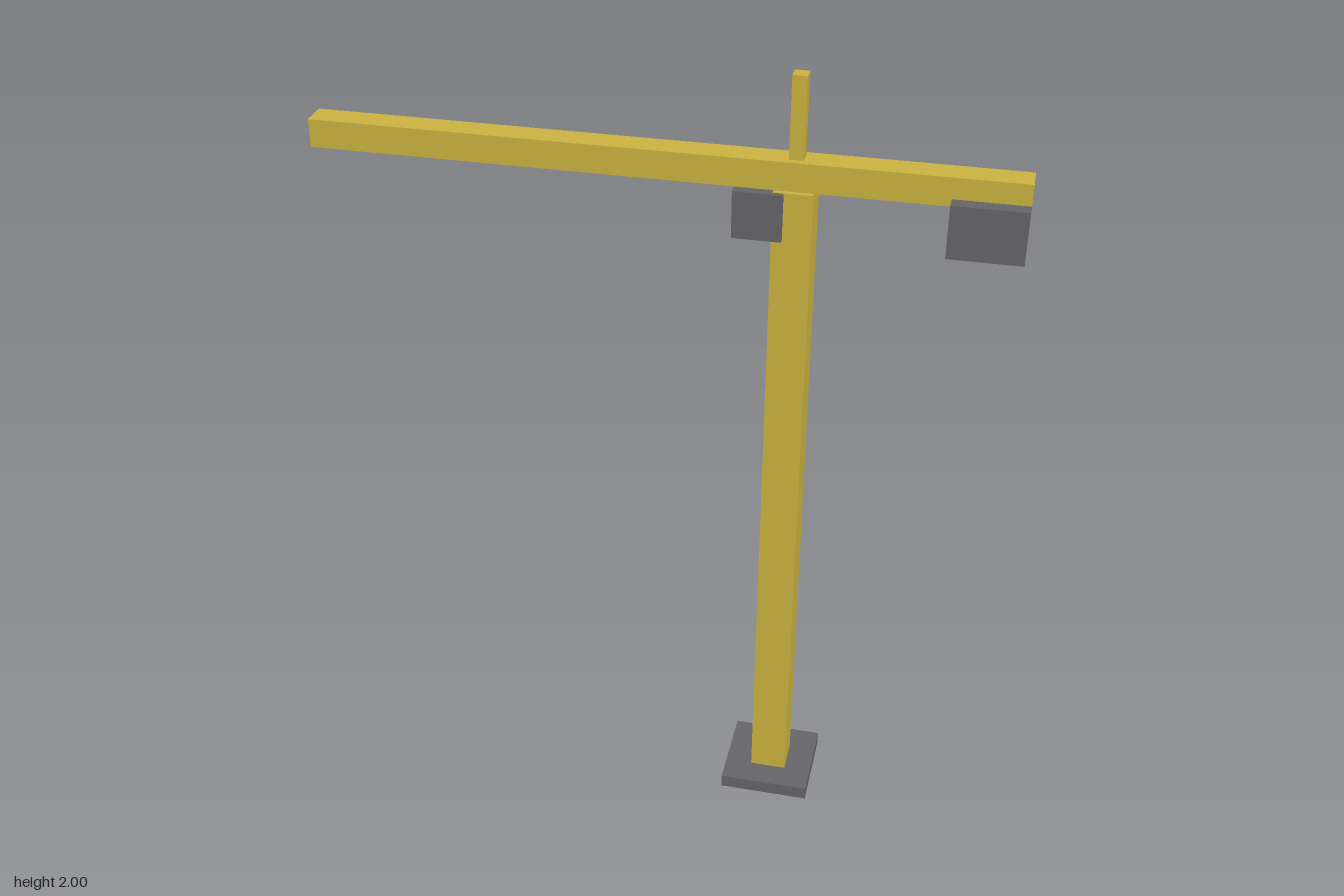
import * as THREE from 'three';

const yellow = new THREE.MeshStandardMaterial({ color: 0xc9b240 });
yellow.name = 'crane yellow';
const grey = new THREE.MeshStandardMaterial({ color: 0x656567 });
grey.name = 'dark grey';

// Box from its x and y extents and its depth, centred on z = 0
function block(name, material, [x0, x1], [y0, y1], depth) {
  const mesh = new THREE.Mesh(new THREE.BoxGeometry(x1 - x0, y1 - y0, depth), material);
  mesh.name = name;
  mesh.position.set((x0 + x1) / 2, (y0 + y1) / 2, 0);
  return mesh;
}

export function createModel() {
  const crane = new THREE.Group();
  crane.name = 'towerCrane';
  const axis = 0.314; // x of the tower
  const around = (half) => [axis - half, axis + half];

  crane.add(
    // Tower
    block('base', grey, around(0.115), [0, 0.035], 0.23),
    block('mast', yellow, around(0.046), [0.002, 1.735], 0.092),
    block('apexPost', yellow, around(0.017), [1.804, 2], 0.034),
    // Horizontal arm and what hangs from it
    block('jib', yellow, [-0.835, 0.835], [1.735, 1.804], 0.068),
    block('cab', grey, [0.178, 0.293], [1.619, 1.734], 0.115),
    block('counterweight', grey, [0.662, 0.835], [1.625, 1.753], 0.138),
  );
  return crane;
}
